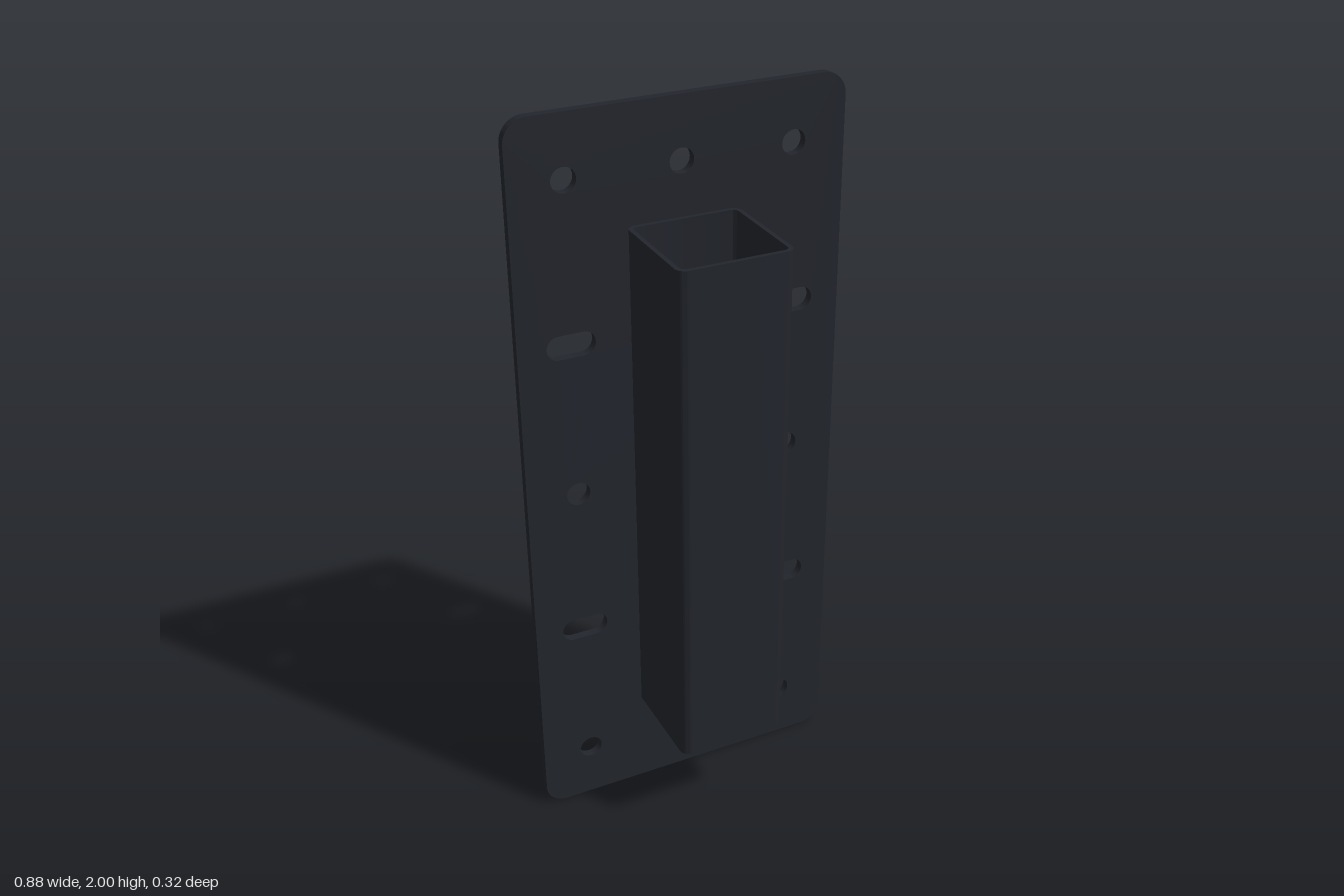
import * as THREE from 'three';
import { toCreasedNormals } from 'three/addons/utils/BufferGeometryUtils.js';

// Traces a rounded rectangle centred on (cx, cy) into a Shape or Path
function roundedRect(path, cx, cy, w, h, r) {
  const x = w / 2 - r, y = h / 2 - r, q = Math.PI / 2;
  path.moveTo(cx + x + r, cy - y);
  path.absarc(cx + x, cy + y, r, 0, q);
  path.absarc(cx - x, cy + y, r, q, 2 * q);
  path.absarc(cx - x, cy - y, r, 2 * q, 3 * q);
  path.absarc(cx + x, cy - y, r, 3 * q, 4 * q);
  path.closePath();
  return path;
}

function extrude(shape, depth) {
  const geometry = new THREE.ExtrudeGeometry(shape, { depth, bevelEnabled: false, curveSegments: 12 });
  return toCreasedNormals(geometry, 0.6);
}

export function createModel() {
  const group = new THREE.Group();
  group.name = 'mountingBracket';
  const material = new THREE.MeshStandardMaterial({ color: 0x22252c });

  // Back plate with round bolt holes and horizontal slots
  const plateShape = roundedRect(new THREE.Shape(), 0, 1, 0.88, 2, 0.06);
  const holeRadius = 0.032;
  for (const [x, y] of [[0, 0.16], [0, 1.84], ...[-0.3, 0.3].flatMap(x => [0.16, 1, 1.84].map(y => [x, y]))]) {
    plateShape.holes.push(new THREE.Path().absarc(x, y, holeRadius, 0, Math.PI * 2, true));
  }
  for (const x of [-0.3, 0.3]) {
    for (const y of [0.58, 1.42]) {
      const slot = new THREE.Path();
      slot.absarc(x + 0.032, y, holeRadius, -Math.PI / 2, Math.PI / 2);
      slot.absarc(x - 0.032, y, holeRadius, Math.PI / 2, Math.PI * 1.5);
      slot.closePath();
      plateShape.holes.push(slot);
    }
  }
  const plate = new THREE.Mesh(extrude(plateShape, 0.024), material);
  plate.name = 'backPlate';
  plate.position.z = -0.162;
  group.add(plate);

  // Open square tube standing against the plate
  const tubeShape = roundedRect(new THREE.Shape(), 0, 0, 0.3, 0.3, 0.026);
  tubeShape.holes.push(roundedRect(new THREE.Path(), 0, 0, 0.276, 0.276, 0.014));
  const tube = new THREE.Mesh(extrude(tubeShape, 1.4), material);
  tube.name = 'squareTube';
  tube.rotation.x = -Math.PI / 2;
  tube.position.set(0, 0.3, 0.012);
  group.add(tube);

  return group;
}
